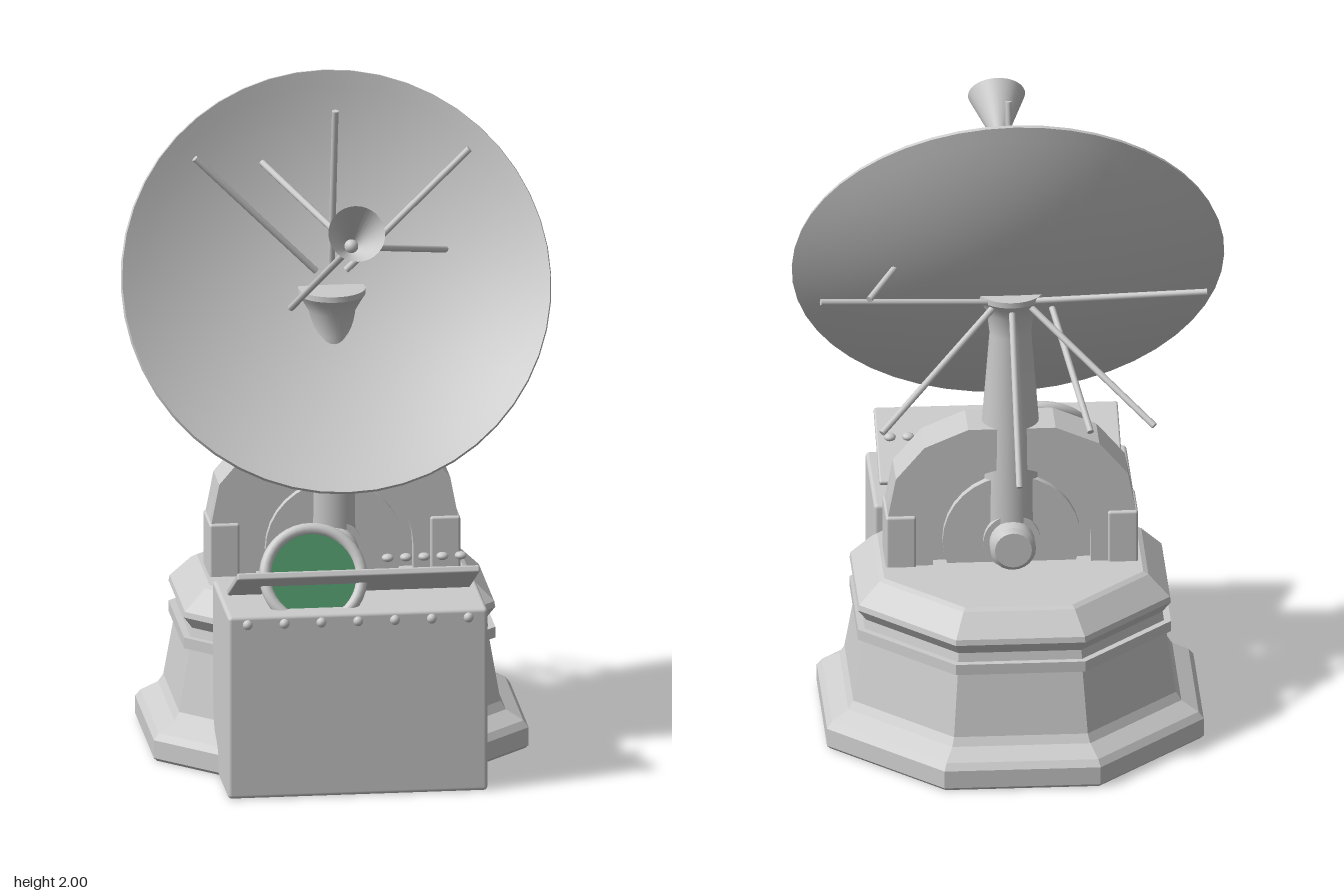
import * as THREE from 'three';
import { toCreasedNormals } from 'three/addons/utils/BufferGeometryUtils.js';
import { RoundedBoxGeometry } from 'three/addons/geometries/RoundedBoxGeometry.js';

export function createModel() {
  const model = new THREE.Group();
  const grey = new THREE.MeshStandardMaterial({ color: 0xcccccc });
  grey.name = 'lightGrey';
  grey.side = THREE.DoubleSide;
  const green = new THREE.MeshStandardMaterial({ color: 0x468a5f });
  green.name = 'screenGreen';

  const add = (name, geometry, x = 0, y = 0, z = 0, parent = model, material = grey) => {
    const mesh = new THREE.Mesh(geometry, material);
    mesh.name = name;
    mesh.position.set(x, y, z);
    parent.add(mesh);
    return mesh;
  };
  const lathe = (points, segments, phi = 0, crease = 0.5) => toCreasedNormals(
    new THREE.LatheGeometry(points.map(p => new THREE.Vector2(...p)), segments, phi), crease);
  const up = new THREE.Vector3(0, 1, 0);
  const between = (mesh, a, b) => {
    mesh.position.copy(a).add(b).multiplyScalar(0.5);
    mesh.quaternion.setFromUnitVectors(up, b.clone().sub(a).normalize());
    return mesh;
  };
  const rod = (name, from, to, r = 0.01) => {
    const a = new THREE.Vector3(...from), b = new THREE.Vector3(...to);
    between(add(name, new THREE.CylinderGeometry(r, r, a.distanceTo(b), 10)), a, b);
  };

  // Octagonal pedestal: radii are given to the flats
  const k = 1 / Math.cos(Math.PI / 8);
  const profile = [[0, 0], [0.55, 0], [0.56, 0.01], [0.56, 0.065], [0.545, 0.085], [0.495, 0.115], [0.48, 0.14],
    [0.447, 0.335], [0.465, 0.335], [0.465, 0.368], [0.445, 0.368], [0.44, 0.395], [0.465, 0.43],
    [0.462, 0.447], [0.4, 0.51], [0.385, 0.518], [0, 0.518]];
  add('pedestal', lathe(profile.map(([r, y]) => [r * k, y]), 8, Math.PI / 8, 0.2), 0, 0, -0.055);

  // Arched mount with recessed inner disc and hub
  const zc = -0.058, hubY = 0.59;
  const half = [[0.37, 0.47], [0.37, 0.67], [0.345, 0.8], [0.26, 0.9], [0.13, 0.955]];
  const outline = [...half, ...half.map(([x, y]) => [-x, y]).reverse()].map(p => new THREE.Vector2(...p));
  const slab = (depth, holed) => {
    const shape = new THREE.Shape(outline);
    if (holed) shape.holes.push(new THREE.Path().absarc(0, 0.705 - 0.005, 0.0001, 0, 0.1));
    return new THREE.ExtrudeGeometry(shape, { depth, bevelEnabled: false });
  };
  add('mountCore', slab(0.07, false), 0, 0, zc - 0.035);
  const arch = new THREE.Shape([...half, ...half.map(([x, y]) => [-x, y]).reverse()]
    .map(p => new THREE.Vector2(...p)));
  arch.lineTo(-0.235, 0.47);
  arch.lineTo(-0.235, hubY);
  arch.absarc(0, hubY, 0.235, Math.PI, 0, true);
  arch.lineTo(0.235, 0.47);
  add('mountArch', toCreasedNormals(new THREE.ExtrudeGeometry(arch,
    { depth: 0.145, bevelEnabled: false, curveSegments: 24 }), 0.3), 0, 0, zc - 0.0725);
  for (const s of [-1, 1])
    add('mountFoot', new RoundedBoxGeometry(0.09, 0.2, 0.165, 2, 0.008), s * 0.33, 0.58, zc);
  const axle = (name, r, depth) => {
    add(name, new THREE.CylinderGeometry(r, r, depth, 32), 0, hubY, zc).rotation.x = Math.PI / 2;
  };
  axle('mountDisc', 0.205, 0.12);
  axle('hubCollar', 0.085, 0.16);
  const hub = lathe([[0, -0.142], [0.055, -0.142], [0.068, -0.13], [0.068, 0.13], [0.055, 0.142], [0, 0.142]], 24);
  add('hub', hub, 0, hubY, zc).rotation.x = Math.PI / 2;

  // Mast flaring into a collar at the dish
  add('mast', lathe([[0, 0.53], [0.088, 0.53], [0.085, 0.95], [0.062, 1.24], [0.07, 1.31], [0.09, 1.345],
    [0.1, 1.36], [0.1, 1.377], [0, 1.377]], 32), 0, 0, zc);

  // Dish: a shallow bowl with a thin rim
  const R = 0.643, depth = 0.155, bowl = [];
  for (let i = 0; i <= 14; i++) bowl.push([R * i / 14, depth * ((i / 14) ** 2 - 1) - 0.012]);
  for (let i = 14; i >= 0; i--) bowl.push([(R - 0.004) * i / 14, depth * ((i / 14) ** 2 - 1)]);
  add('dish', lathe(bowl, 48), 0, 1.432, 0.057).rotation.x = 1.082;

  // Feed horn, open at its mouth
  const throat = new THREE.Vector3(0, 1.65, 0.425), mouth = new THREE.Vector3(0, 1.73, 0.563);
  between(add('feedHorn', new THREE.CylinderGeometry(0.085, 0.02, throat.distanceTo(mouth), 32, 1, true)), throat, mouth);
  add('hornThroat', new THREE.SphereGeometry(0.021, 16, 10), 0, 1.65, 0.425);

  // Feed supports, two of them piercing the dish
  const feed = [0, 1.65, 0.43];
  rod('feedStrut', feed, [0.43, 1.43, -0.22]);
  rod('feedStrut', feed, [-0.215, 1.07, -0.42]);
  rod('feedStrut', feed, [-0.215, 1.79, 0]);

  // Rods inside the dish and behind it
  rod('innerRod', [0, 1.44, -0.07], [0, 1.95, 0.028]);
  rod('rearRod', [0, 1.36, -0.12], [0, 0.92, -0.475]);
  for (const s of [-1, 1]) {
    rod('innerRod', [s * 0.045, 1.425, -0.075], [s * 0.41, 1.795, -0.05]);
    rod('rearRod', [s * 0.04, 1.36, -0.11], [s * 0.405, 1.08, -0.41]);
    rod('sideRod', [s * 0.03, 1.36, -0.11], [s * 0.575, 1.43, -0.23]);
  }

  // Control cabinet with rivets and a sloping panel
  add('cabinet', new RoundedBoxGeometry(0.776, 0.565, 0.39, 2, 0.012), 0, 0.2825, 0.4);
  for (let i = -3; i <= 3; i++)
    add('rivet', new THREE.SphereGeometry(0.015, 12, 8), i * 0.11, 0.54, 0.597);
  add('controlPanel', new RoundedBoxGeometry(0.725, 0.022, 0.29, 2, 0.006), 0, 0.63, 0.478).rotation.x = -0.456;
  for (let i = 0; i < 5; i++)
    add('knob', new THREE.SphereGeometry(0.018, 14, 10), 0.108 + i * 0.0545, 0.683, 0.432).scale.y = 0.65;

  // Round display leaning back through the panel
  const display = new THREE.Group();
  display.name = 'display';
  display.position.set(-0.12, 0.648, 0.48);
  display.rotation.x = -0.48;
  model.add(display);
  add('displayRing', new THREE.TorusGeometry(0.144, 0.018, 12, 40), 0, 0, 0, display);
  add('displayScreen', new THREE.CylinderGeometry(0.14, 0.14, 0.009, 40), 0, 0, 0, display, green)
    .rotation.x = Math.PI / 2;

  return model;
}
